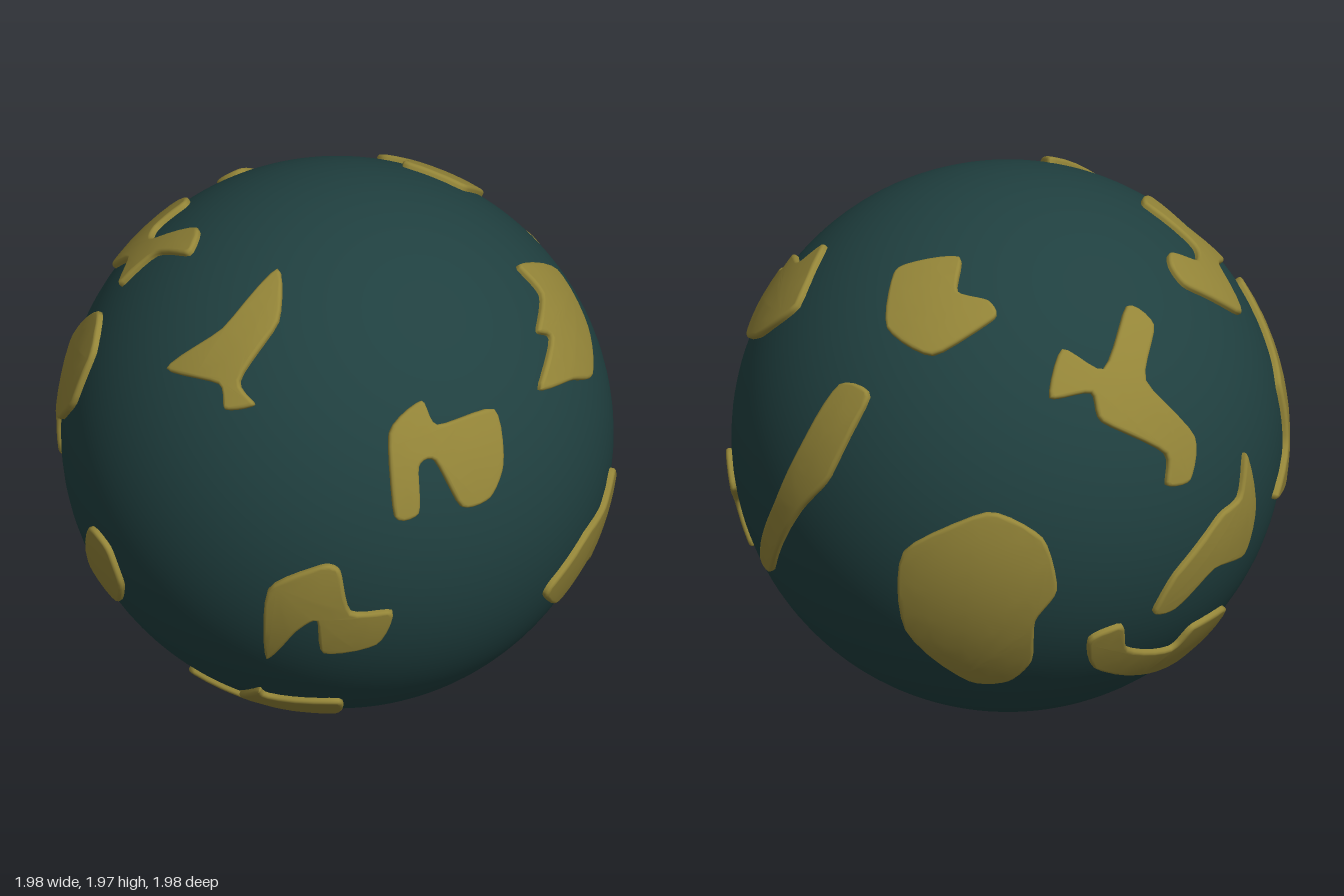
import * as THREE from 'three';
import { mergeVertices } from 'three/addons/utils/BufferGeometryUtils.js';

const R = 0.985;      // globe radius
const RISE = 0.022;   // height of the land above the globe
const DEPTH = 0.02;
const BEVEL = 0.012;

// Lift an outline (x, y pairs in hundredths) onto the unit sphere, facing a given azimuth and elevation
function outlineOnSphere(azimuth, elevation, outline) {
  const turn = new THREE.Euler(-THREE.MathUtils.degToRad(elevation), THREE.MathUtils.degToRad(azimuth), 0, 'YXZ');
  const points = [];
  for (let i = 0; i < outline.length; i += 2) {
    const x = outline[i] / 100, y = outline[i + 1] / 100;
    const z = Math.sqrt(Math.max(0, 1 - x * x - y * y));
    points.push(new THREE.Vector3(x, y, z).applyEuler(turn).normalize());
  }
  return points;
}

// Halve the longest edge until every edge is short enough to bend
function split(a, b, c, limit, out) {
  const ab = a.distanceTo(b), bc = b.distanceTo(c), ca = c.distanceTo(a);
  const longest = Math.max(ab, bc, ca);
  if (longest < limit) { out.push(a, b, c); return; }
  if (longest === bc) [a, b, c] = [b, c, a];
  else if (longest === ca) [a, b, c] = [c, a, b];
  const m = a.clone().add(b).multiplyScalar(0.5);
  split(a, m, c, limit, out);
  split(m, b, c, limit, out);
}

// A bevelled slab cut flat, then wrapped over the globe
function landGeometry(points) {
  const centre = points.reduce((s, p) => s.add(p), new THREE.Vector3()).normalize();
  const toWorld = new THREE.Quaternion().setFromUnitVectors(new THREE.Vector3(0, 0, 1), centre);
  const toLocal = toWorld.clone().invert();

  const flat = points.map((p) => {
    const q = p.clone().applyQuaternion(toLocal);
    const k = Math.acos(Math.min(1, q.z)) / Math.max(1e-6, Math.hypot(q.x, q.y));
    return new THREE.Vector3(q.x * k, q.y * k, 0);
  });
  const curve = new THREE.CatmullRomCurve3(flat, true, 'catmullrom', 0.35);
  const loop = curve.getPoints(flat.length * 5).slice(0, -1);
  const slab = new THREE.ExtrudeGeometry(new THREE.Shape(loop.map((p) => new THREE.Vector2(p.x, p.y))), {
    depth: DEPTH, bevelSize: BEVEL, bevelThickness: BEVEL, bevelOffset: -BEVEL, bevelSegments: 3,
  });

  const pos = slab.attributes.position;
  const corner = (i) => new THREE.Vector3().fromBufferAttribute(pos, i);
  const pieces = [];
  for (let i = 0; i < pos.count; i += 3) split(corner(i), corner(i + 1), corner(i + 2), 0.08, pieces);

  const wrapped = pieces.map((p) => {
    const t = Math.hypot(p.x, p.y), s = t > 1e-6 ? Math.sin(t) / t : 1;
    return new THREE.Vector3(p.x * s, p.y * s, Math.cos(t))
      .multiplyScalar(R + RISE - DEPTH - BEVEL + p.z).applyQuaternion(toWorld);
  });
  const geometry = mergeVertices(new THREE.BufferGeometry().setFromPoints(wrapped));
  geometry.computeVertexNormals();
  return geometry;
}

export function createModel() {
  const model = new THREE.Group();
  model.name = 'globe';

  const sea = new THREE.Mesh(new THREE.SphereGeometry(R, 96, 64), new THREE.MeshStandardMaterial({ color: 0x204040 }));
  sea.name = 'sea';
  sea.position.y = R;
  model.add(sea);

  const lands = new THREE.Group();
  lands.name = 'lands';
  lands.position.y = R;
  model.add(lands);

  const landMaterial = new THREE.MeshStandardMaterial({ color: 0x948538 });
  const addLand = (name, azimuth, elevation, outline) => {
    const land = new THREE.Mesh(landGeometry(outlineOnSphere(azimuth, elevation, outline)), landMaterial);
    land.name = name;
    lands.add(land);
  };

  // Front
  addLand('frontUpperLand', 0, 0,
    [4, 52, 17, 60, 22, 52, 44, 51, 46, 33, 40, 23, 29, 23, 20, 41, 14, 40, 13, 24, 4, 24]);
  addLand('frontMiddleLand', 0, 0,
    [-41, -6, -23, 6, -16, 4, -12, -14, 3, -15, -2, -30, -21, -34, -24, -18, -31, -24, -40, -40]);
  addLand('frontLowerLand', 0, 0,
    [-40, -64, -36, -68, -12, -67, -10, -80, -23, -82, -23, -90, -39, -88, -59, -75, -40, -81, -44, -75]);
  addLand('frontTopLand', 0, 90,
    [-69, -41, -49, -43, -27, -31, -30, -50, -46, -61, -42, -69, -52, -65, -53, -58]);

  // Left
  addLand('leftLowerLand', 90, 0,
    [-70, -27, -57, -16, -43, -14, -33, -5, -23, -16, -31, -26, -24, -40, -34, -42, -46, -34, -58, -43, -70, -33]);
  addLand('leftLongLand', 90, 0,
    [40, 49, 52, 48, 50, 18, 39, 1, 12, -34, 5, -31, 25, -1, 35, 25]);
  addLand('leftUpperLand', 35, 25,
    [17, 8, 34, 21, 29, 26, 42, 35, 40, 47, 63, 36, 62, 14, 50, 0, 36, 4]);
  addLand('leftTopLand', 0, 90,
    [26, 60, 49, 59, 60, 41, 52, 25, 46, 25, 30, 34, 35, 46, 26, 54]);

  // Back
  addLand('backLargeLand', 140, -30,
    [-2, 47, 28, 60, 47, 48, 51, 28, 43, 17, 39, -3, 29, -14, 15, -13, -4, 14]);
  addLand('backUpperLand', 215, 25,
    [-59, 22, -47, 36, -39, 24, -17, 40, -12, 30, -27, 14, -16, -12, -22, -26, -32, -24, -30, -13, -48, 7, -47, 18]);
  addLand('backMiddleLand', 215, 25,
    [-33, -68, -28, -57, -9, -44, 3, -41, 9, -27, 14, -48, 10, -63, -9, -62, -24, -70]);
  addLand('backLowerLand', 140, -30,
    [58, 0, 68, 0, 67, -15, 75, -33, 82, -28, 86, -40, 70, -60, 65, -44, 56, -18]);

  // Right
  addLand('rightTopLand', 215, 25,
    [14, 44, 20, 48, 31, 41, 39, 45, 36, 64, 47, 64, 47, 50, 56, 34, 45, 34, 38, 17, 15, 35]);
  addLand('rightLongLand', 215, 25,
    [62, 23, 75, 21, 82, 2, 77, -16, 65, -30, 63, -46, 34, -51, 50, -36, 50, -15, 55, -6]);
  addLand('rightSmallLand', -90, 0,
    [29, -12, 41, -14, 43, -29, 31, -43, 16, -36]);

  return model;
}
